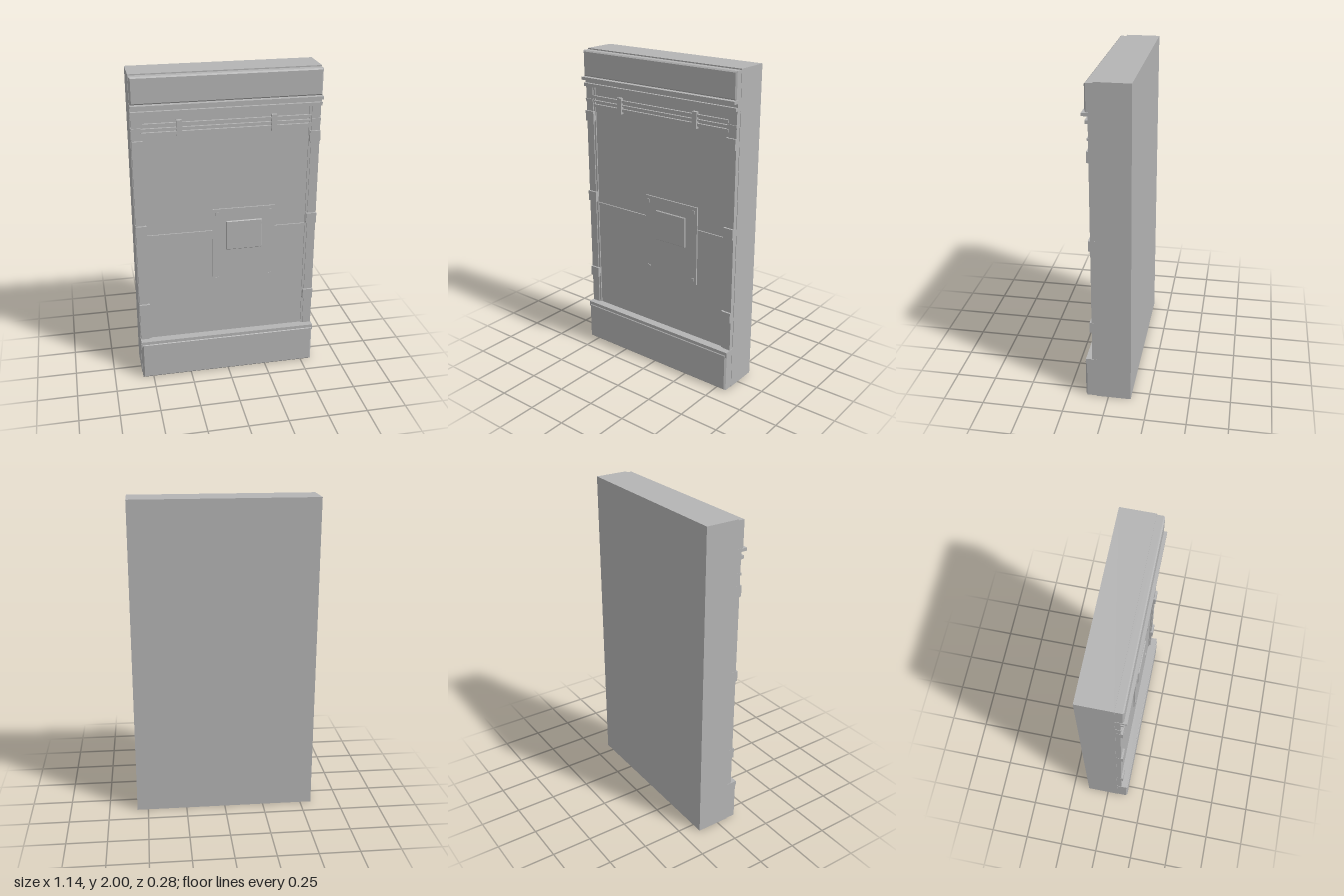
import * as THREE from 'three';

export function createModel() {
  const group = new THREE.Group();
  const grey = new THREE.MeshStandardMaterial({ color: 0xb4b4b4 });
  grey.name = 'plain grey';
  grey.flatShading = true;

  // Box given by its limits; a bevel chamfers the front edges.
  function block(name, x0, x1, y0, y1, z0, z1, bevel = 0) {
    let geometry;
    if (bevel) {
      const a = x0 + bevel, b = x1 - bevel, c = y0 + bevel, d = y1 - bevel;
      const shape = new THREE.Shape([[a, c], [b, c], [b, d], [a, d]].map(p => new THREE.Vector2(...p)));
      geometry = new THREE.ExtrudeGeometry(shape, {
        depth: z1 - z0 - 2 * bevel, bevelEnabled: true,
        bevelSize: bevel, bevelThickness: bevel, bevelSegments: 1,
      });
      geometry.translate(0, 0, z0 + bevel);
    } else {
      geometry = new THREE.BoxGeometry(x1 - x0, y1 - y0, z1 - z0);
      geometry.translate((x0 + x1) / 2, (y0 + y1) / 2, (z0 + z1) / 2);
    }
    const mesh = new THREE.Mesh(geometry, grey);
    mesh.name = name;
    group.add(mesh);
  }

  // Wall slab and the two front panels meeting at a seam
  block('wallSlab', -0.57, 0.57, 0, 2, -0.14, 0.068);
  block('lowerPanel', -0.51, 0.51, 0.26, 0.998, 0.06, 0.085);
  block('upperPanel', -0.51, 0.51, 1.002, 1.83, 0.06, 0.085);

  // Header and cornice
  block('header', -0.568, 0.568, 1.832, 1.993, 0.055, 0.116, 0.008);
  block('frieze', -0.57, 0.57, 1.765, 1.832, 0.06, 0.098);
  block('corniceLedge', -0.57, 0.57, 1.812, 1.83, 0.06, 0.134);
  block('corniceMoulding', -0.57, 0.57, 1.77, 1.79, 0.06, 0.115);

  // Plinth with a chamfered face and a ledge on top
  block('plinthBacking', -0.57, 0.57, 0, 0.25, 0.06, 0.073);
  block('plinth', -0.568, 0.568, 0.002, 0.255, 0.06, 0.141, 0.01);
  block('plinthLedge', -0.57, 0.57, 0.235, 0.27, 0.06, 0.137);

  // Side posts with inner strips, collars and clamps
  for (const side of [-1, 1]) {
    const post = (name, a, b, y0, y1, z1) =>
      block(name, Math.min(side * a, side * b), Math.max(side * a, side * b), y0, y1, 0.06, z1);
    post('post', 0.513, 0.567, 0.26, 1.77, 0.098);
    post('postInnerStrip', 0.5, 0.513, 0.26, 1.77, 0.092);
    post('postCollar', 0.512, 0.569, 1.675, 1.69, 0.104);
    for (const y of [0.495, 1.04, 1.58]) post('clamp', 0.503, 0.568, y - 0.033, y + 0.033, 0.11);
  }

  // Horizontal rails held by two brackets
  for (const [y, h] of [[1.705, 0.016], [1.679, 0.01], [1.651, 0.018]])
    block('rail', -0.51, 0.51, y - h / 2, y + h / 2, 0.08, 0.099);
  for (const x of [-0.288, 0.281])
    block('railBracket', x - 0.016, x + 0.016, 1.628, 1.728, 0.08, 0.107);

  // Access plate with hatch and corner bolts
  block('accessPlate', -0.093, 0.303, 0.635, 1.143, 0.08, 0.094);
  block('hatch', -0.008, 0.218, 0.865, 1.06, 0.085, 0.102, 0.004);
  for (const x of [-0.067, 0.277])
    for (const y of [0.665, 1.111])
      block('bolt', x - 0.01, x + 0.01, y - 0.01, y + 0.01, 0.09, 0.099);

  return group;
}
